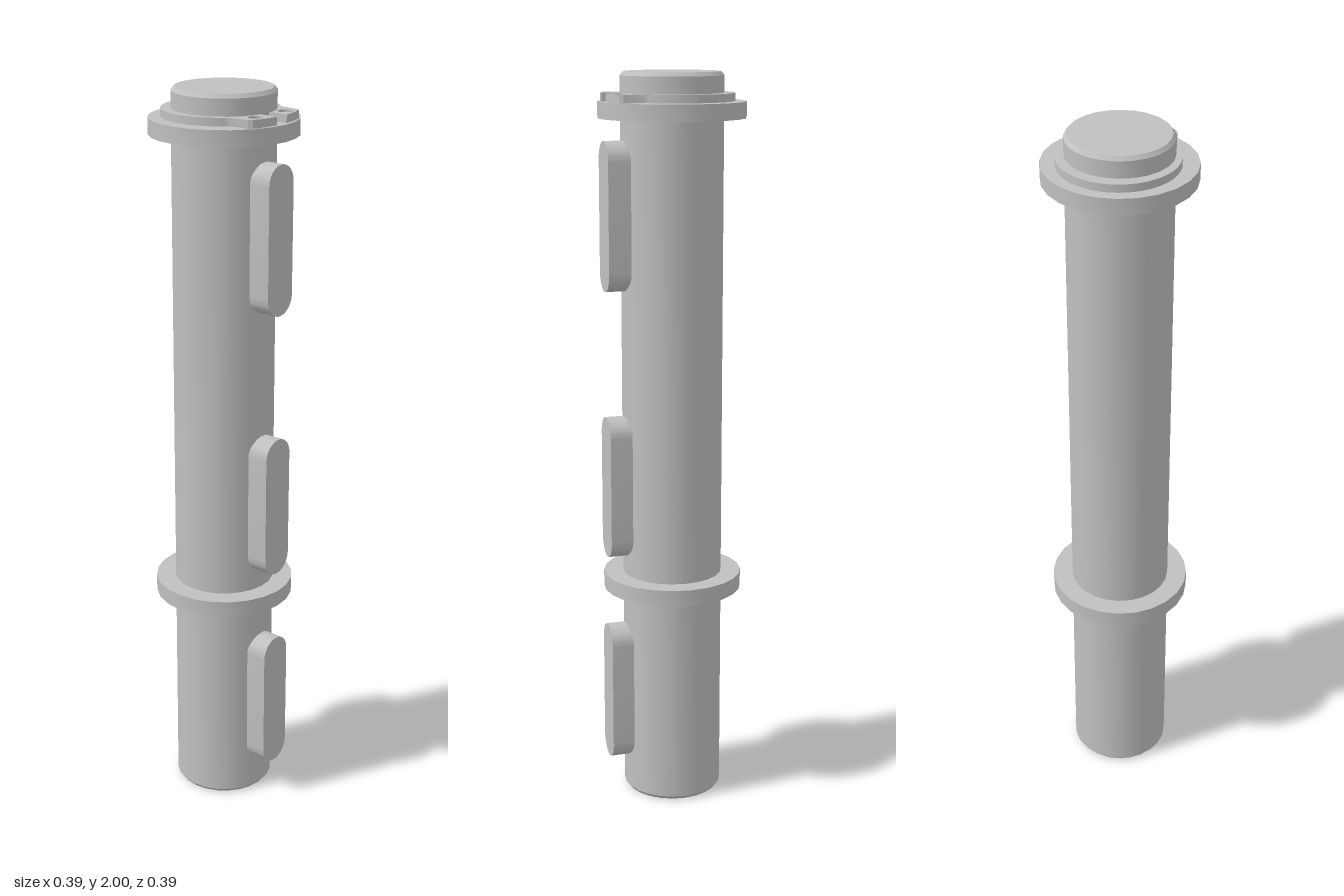
import * as THREE from 'three';
import { toCreasedNormals } from 'three/addons/utils/BufferGeometryUtils.js';

const SIDES = 24;
const R = 0.136; // shaft radius

export function createModel() {
  const model = new THREE.Group();
  const steel = new THREE.MeshStandardMaterial({ color: 0xc0c0c0 });
  steel.name = 'steel grey';

  const add = (name, geometry, crease = 0.5) => {
    const mesh = new THREE.Mesh(toCreasedNormals(geometry, crease), steel);
    mesh.name = name;
    model.add(mesh);
    return mesh;
  };
  const lathe = (pts) =>
    new THREE.LatheGeometry(pts.map(([r, y]) => new THREE.Vector2(r, y)), SIDES);

  // Shaft: threaded blind hole, chamfered ends and a groove for the ring
  const profile = [[0, 0.34], [0.052, 0.3]];
  for (let y = 0.28; y > 0.03; y -= 0.02) profile.push([0.062, y], [0.052, y - 0.01]);
  profile.push(
    [0.065, 0], [R - 0.008, 0], [R, 0.01],
    [R, 1.924], [0.129, 1.924], [0.129, 1.946], [R, 1.946],
    [R, 1.99], [R - 0.008, 2], [0, 2],
  );
  add('shaft', lathe(profile));

  // Fixed shoulder and loose washer
  const disc = (name, r, y0, y1) =>
    add(name, lathe([[R - 0.002, y0], [r, y0], [r, y1], [R - 0.002, y1], [R - 0.002, y0]]));
  disc('shoulderCollar', 0.19, 0.597, 0.642);
  disc('washer', 0.195, 1.881, 1.924);

  // Retaining ring: eccentric band with two drilled lugs at the front
  const ring = new THREE.Shape();
  const lug = [[0.02, -0.128], [0.02, -0.184], [0.06, -0.178], [0.093, -0.167],
    [0.1, -0.157], [0.105, -0.105], [0.11, -0.096]];
  lug.forEach(([x, y], i) => (i ? ring.lineTo(x, y) : ring.moveTo(x, y)));
  const a = THREE.MathUtils.degToRad(40);
  ring.absarc(0, 0.011, 0.154, -a, Math.PI + a, false);
  [...lug].reverse().forEach(([x, y]) => ring.lineTo(-x, y));
  const gap = Math.asin(0.02 / 0.13);
  ring.absarc(0, 0, 0.13, 1.5 * Math.PI - gap, -0.5 * Math.PI + gap, true);
  for (const s of [-1, 1]) {
    ring.holes.push(new THREE.Path().absarc(s * 0.059, -0.15, 0.02, 0, Math.PI * 2, true));
  }
  const ringGeometry = new THREE.ExtrudeGeometry(ring, {
    depth: 0.021, bevelEnabled: false, curveSegments: SIDES,
  });
  ringGeometry.rotateX(-Math.PI / 2);
  add('retainingRing', ringGeometry).position.y = 1.9245;

  // Round-ended keys set into the front of the shaft
  const keyHalf = 0.05, keyStraight = 0.147;
  const key = new THREE.Shape();
  key.absarc(0, keyStraight, keyHalf, 0, Math.PI, false);
  key.absarc(0, -keyStraight, keyHalf, Math.PI, Math.PI * 2, false);
  key.closePath();
  ['lowerKey', 'middleKey', 'upperKey'].forEach((name, i) => {
    const geometry = new THREE.ExtrudeGeometry(key, {
      depth: 0.105, bevelEnabled: false, curveSegments: 12,
    });
    add(name, geometry).position.set(0, [0.298, 0.892, 1.628][i], 0.081);
  });

  return model;
}
